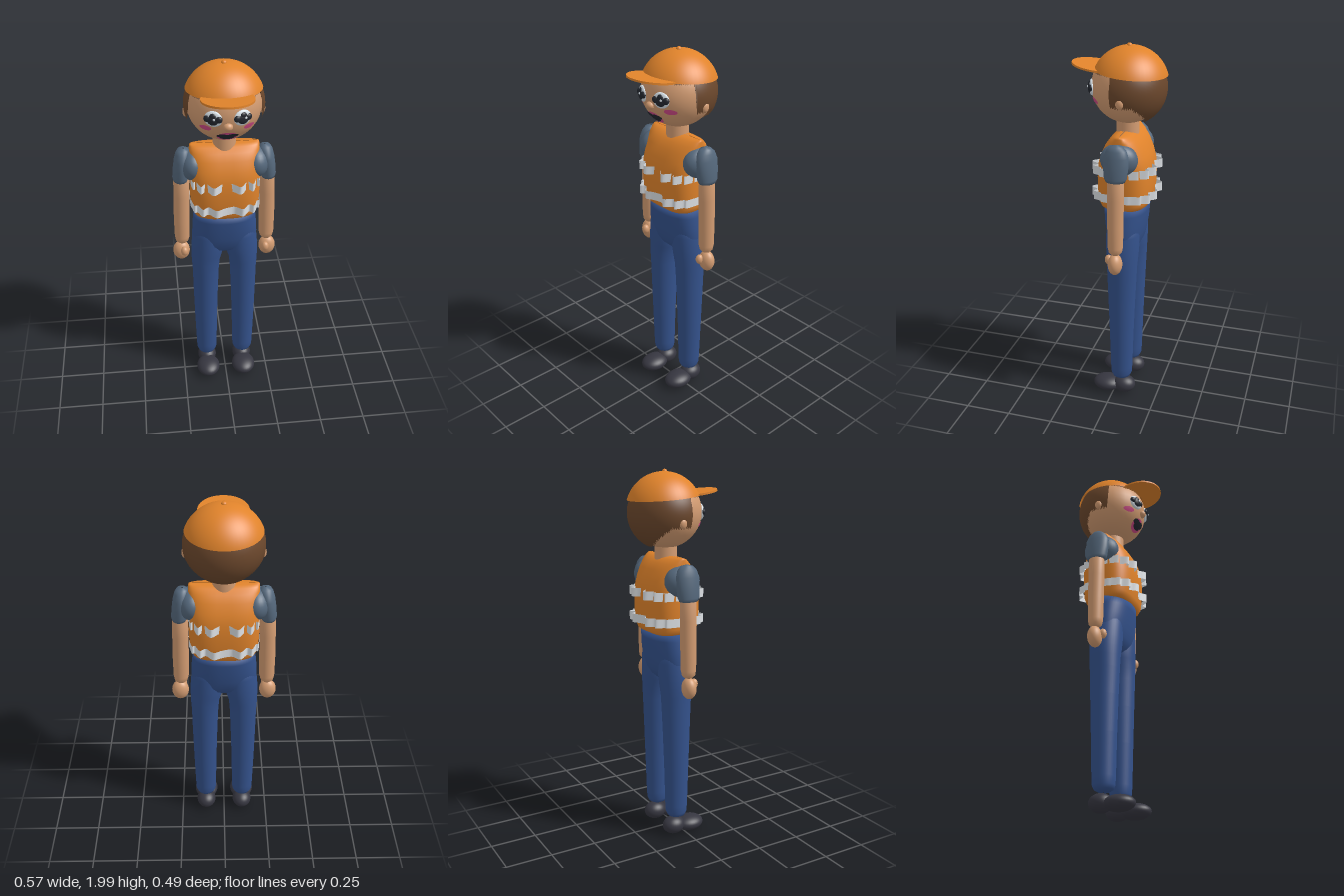
import * as THREE from 'three';

const material = (name, color, side = THREE.FrontSide) => {
  const m = new THREE.MeshStandardMaterial({ color, side });
  m.name = name;
  return m;
};

export function createModel() {
  const orange = material('orange', 0xe0832b, THREE.DoubleSide);
  const denim = material('denim blue', 0x34528c);
  const skin = material('skin', 0xd39c72);
  const brown = material('hair brown', 0x6b472c, THREE.DoubleSide);
  const slate = material('shirt slate', 0x55687c);
  const silver = material('reflective silver', 0xdde1e5, THREE.DoubleSide);
  const shoeBlack = material('shoe black', 0x363640);
  const pink = material('pink', 0xcf4a86);
  const dark = material('eye dark', 0x23272f);
  const white = material('eye white', 0xdfe9f0);

  const model = new THREE.Group();
  const Z = -0.045; // body axis
  const add = (name, geometry, mat, parent = model) => {
    const mesh = new THREE.Mesh(geometry, mat);
    mesh.name = name;
    parent.add(mesh);
    return mesh;
  };
  const ball = (name, mat, [x, y, z], [rx, ry, rz], parent = model) => {
    const mesh = add(name, new THREE.SphereGeometry(1, 32, 20).scale(rx, ry, rz), mat, parent);
    mesh.position.set(x, y, z);
    return mesh;
  };

  // Closed skin through rings [y, halfX, halfZ, centreX, centreZ], bottom to top
  function loft(rings, power = 2, n = 40) {
    const pos = [], index = [];
    const bend = v => Math.sign(v) * Math.abs(v) ** (2 / power);
    rings.forEach(([y, rx, rz, cx = 0, cz = Z], j) => {
      for (let i = 0; i < n; i++) {
        const t = (i / n) * Math.PI * 2;
        pos.push(cx + rx * bend(Math.cos(t)), y, cz + rz * bend(Math.sin(t)));
        if (j === rings.length - 1) continue;
        const a = j * n + i, b = j * n + (i + 1) % n;
        index.push(a, a + n, b, b, a + n, b + n);
      }
    });
    const g = new THREE.BufferGeometry();
    g.setAttribute('position', new THREE.Float32BufferAttribute(pos, 3));
    g.setIndex(index);
    g.computeVertexNormals();
    return g;
  }

  // Vest with an arched side outline
  add('vest', loft([
    [1.155, 0.02, 0.02], [1.155, 0.155, 0.112], [1.165, 0.168, 0.124], [1.19, 0.177, 0.135],
    [1.25, 0.182, 0.141], [1.32, 0.184, 0.142], [1.39, 0.184, 0.137], [1.44, 0.183, 0.122],
    [1.49, 0.182, 0.098], [1.525, 0.181, 0.073], [1.548, 0.18, 0.046], [1.556, 0.178, 0.022], [1.558, 0.17, 0.002],
  ], 3, 64), orange);

  // Wavy reflective bands that dip in and out of the vest
  [[1.365, 0.154, 0.021], [1.228, 0.159, 0.016]].forEach(([y, depth, wave], k) => {
    const n = 160, g = new THREE.CylinderGeometry(1, 1, 0.046, n, 1, true);
    const p = g.attributes.position;
    for (let i = 0; i < p.count; i++) {
      const t = Math.atan2(p.getZ(i), p.getX(i)), c = Math.cos(t), s = Math.sin(t);
      const d = depth + wave * Math.cos(14 * t + k);
      p.setX(i, 0.184 * Math.sign(c) * Math.abs(c) ** 0.66);
      p.setZ(i, d * Math.sign(s) * Math.abs(s) ** 0.66);
    }
    g.computeVertexNormals();
    add('reflectiveBand', g, silver).position.set(0, y, Z);
  });

  // Trousers: hips and two tapering legs
  add('hips', loft([
    [0.885, 0.01, 0.01], [0.892, 0.06, 0.045], [0.915, 0.13, 0.07], [0.95, 0.17, 0.088], [1.0, 0.177, 0.099],
    [1.06, 0.174, 0.109], [1.12, 0.168, 0.115], [1.16, 0.162, 0.117], [1.16, 0.01, 0.01],
  ], 2.3, 56), denim);

  for (const s of [1, -1]) {
    add('leg', loft([
      [0.104, 0.004, 0.004, s * 0.108], [0.107, 0.03, 0.03, s * 0.108], [0.118, 0.049, 0.049, s * 0.108],
      [0.138, 0.058, 0.058, s * 0.108], [0.18, 0.06, 0.061, s * 0.108], [0.4, 0.065, 0.067, s * 0.109],
      [0.6, 0.07, 0.074, s * 0.108], [0.75, 0.074, 0.08, s * 0.106], [0.82, 0.079, 0.083, s * 0.105],
      [0.87, 0.086, 0.086, s * 0.098], [0.92, 0.09, 0.089, s * 0.093], [1.0, 0.088, 0.09, s * 0.088],
      [1.08, 0.08, 0.085, s * 0.085], [1.12, 0.01, 0.01, s * 0.085],
    ]), denim);

    // Shoes: toe and heel
    ball('shoeToe', shoeBlack, [s * 0.107, 0.046, 0.038], [0.068, 0.042, 0.083]);
    ball('shoeHeel', shoeBlack, [s * 0.107, 0.053, -0.06], [0.055, 0.049, 0.064]);

    // Shoulder, sleeve, arm, hand
    ball('shoulder', slate, [s * 0.165, 1.44, Z], [0.07, 0.085, 0.098]);
    add('sleeve', loft([
      [1.345, 0.02, 0.02, s * 0.23], [1.347, 0.038, 0.05, s * 0.23], [1.365, 0.043, 0.059, s * 0.229],
      [1.42, 0.043, 0.065, s * 0.224], [1.47, 0.041, 0.065, s * 0.219], [1.505, 0.037, 0.052, s * 0.214],
      [1.525, 0.028, 0.032, s * 0.212], [1.532, 0.004, 0.004, s * 0.21],
    ]), slate);
    add('arm', loft([
      [0.94, 0.004, 0.004, s * 0.233], [0.944, 0.022, 0.022, s * 0.233], [0.958, 0.035, 0.035, s * 0.233],
      [0.985, 0.041, 0.04, s * 0.232], [1.1, 0.043, 0.042, s * 0.231], [1.25, 0.043, 0.043, s * 0.228],
      [1.36, 0.04, 0.043, s * 0.227], [1.4, 0.01, 0.01, s * 0.225],
    ], 2, 32), skin);
    ball('hand', skin, [s * 0.239, 0.887, Z], [0.046, 0.058, 0.038]);
    ball('thumb', skin, [s * 0.224, 0.903, -0.006], [0.02, 0.027, 0.021]);
  }

  // Neck and head
  add('neck', new THREE.CylinderGeometry(0.058, 0.06, 0.13, 32), skin).position.set(0, 1.58, Z);
  const head = new THREE.Group();
  head.name = 'head';
  model.add(head);
  const HR = [0.188, 0.186, 0.188], HC = [0, 1.78, -0.047];
  ball('face', skin, HC, HR, head);

  // Hair shell whose lower edge depends on the direction around the head
  const hair = new THREE.SphereGeometry(1, 128, 24);
  const hp = hair.attributes.position, uv = hair.attributes.uv;
  const edge = a => {
    if (a < 1.31) return 0.42;
    if (a < 1.9) return -0.38;
    if (a < 2.6) return -0.38 - 0.47 * (a - 1.9) / 0.7 + 0.02 * Math.sin(a * 40);
    return -0.85 - 0.06 * (a - 2.6) / 0.54;
  };
  for (let i = 0; i < hp.count; i++) {
    const phi = uv.getX(i) * Math.PI * 2;
    const x = -Math.cos(phi), z = Math.sin(phi);
    const theta = (1 - uv.getY(i)) * Math.acos(edge(Math.acos(THREE.MathUtils.clamp(z, -1, 1))));
    const r = Math.sin(theta);
    hp.setXYZ(i, x * r, Math.cos(theta), z * r);
    hair.attributes.normal.setXYZ(i, x * r, Math.cos(theta), z * r);
  }
  add('hair', hair.scale(0.203, 0.193, 0.196), brown, head).position.set(0, 1.775, -0.05);

  // Cap: dome, button and brim
  const dome = add('capDome', new THREE.SphereGeometry(1, 48, 20, 0, Math.PI * 2, 0, 1.22).scale(0.205, 0.2, 0.198), orange, head);
  dome.position.set(0, 1.785, -0.056);
  dome.rotation.x = -0.08;
  ball('capButton', orange, [0, 1.984, -0.052], [0.014, 0.012, 0.014], head);
  const brim = add('capBrim', new THREE.CylinderGeometry(0.13, 0.13, 0.01, 48), orange, head);
  brim.position.set(0, 1.873, 0.117);
  brim.rotation.x = -0.14;

  // Thin oval plate laid on the curved face
  const plate = (name, mat, cx, cy, rx, ry, lift) => {
    const g = new THREE.RingGeometry(0, 1, 28, 4).scale(rx, ry, 1).translate(cx, cy, 0);
    const p = g.attributes.position;
    for (let i = 0; i < p.count; i++) {
      const u = p.getX(i) / HR[0], v = (p.getY(i) - HC[1]) / HR[1];
      p.setZ(i, HC[2] + HR[2] * Math.sqrt(Math.max(0, 1 - u * u - v * v)) + lift);
    }
    g.computeVertexNormals();
    add(name, g, mat, head);
  };

  // Face details
  ball('nose', skin, [0, 1.737, 0.135], [0.024, 0.021, 0.022], head);
  for (const s of [1, -1]) {
    ball('ear', skin, [s * 0.193, 1.733, -0.055], [0.014, 0.026, 0.021], head);
    const eye = new THREE.Group();
    eye.name = 'eye';
    eye.position.set(s * 0.07, 1.778, 0.124);
    eye.rotation.y = s * 0.35;
    head.add(eye);
    ball('eyeball', white, [0, 0, 0], [0.045, 0.041, 0.015], eye);
    ball('iris', dark, [0, -0.003, 0.008], [0.029, 0.027, 0.013], eye);
    for (const [dx, dy] of [[-0.028, 0.002], [0, 0.015], [0.028, 0.002]]) {
      ball('lash', dark, [dx, dy, 0.006], [0.019, 0.018, 0.013], eye);
    }
    ball('glint', white, [0.009, 0.006, 0.021], [0.006, 0.006, 0.003], eye);
    plate('cheek', pink, s * 0.106, 1.72, 0.027, 0.015, 0.003);
    plate('upperMouth', dark, s * 0.024, 1.677, 0.03, 0.014, 0.006);
  }
  plate('lips', pink, 0, 1.668, 0.05, 0.033, 0.003);
  plate('mouth', dark, 0, 1.664, 0.036, 0.018, 0.005);

  return model;
}
